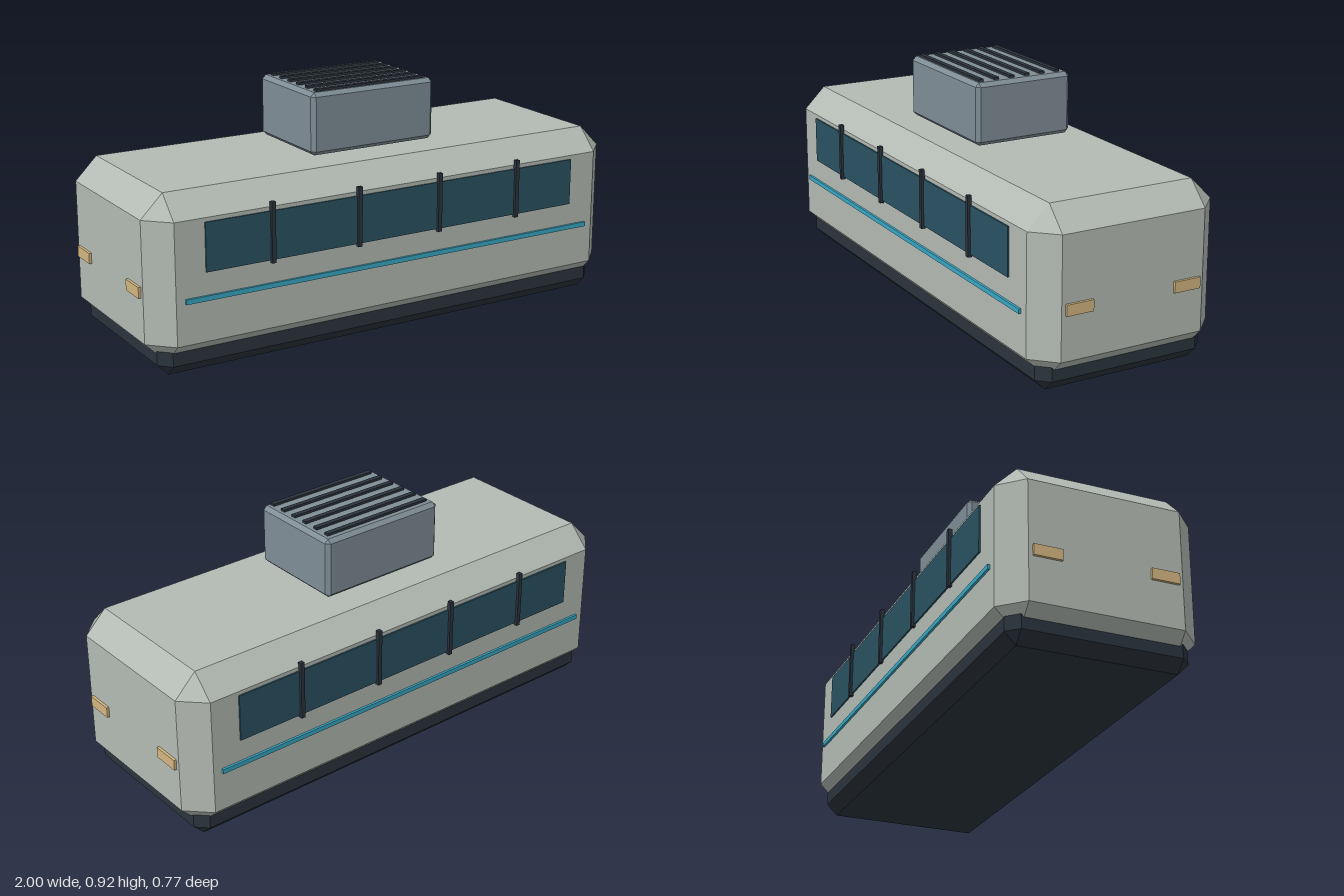
import * as THREE from 'three';
import { ConvexGeometry } from 'three/addons/geometries/ConvexGeometry.js';

const material = (color) => new THREE.MeshStandardMaterial({ color, flatShading: true });
const paint = material(0xb4bbb4);
const dark = material(0x2b343d);
const glass = material(0x2a5262);
const accent = material(0x38a8c4);
const lamp = material(0xd2b680);
const metal = material(0x7f8e97);

// Box from y0 to y1 with every edge cut at 45 degrees by c
function chamferBox(w, y0, y1, d, c) {
  const X = w / 2, Y = (y1 - y0) / 2, Z = d / 2, points = [];
  for (const sx of [-1, 1]) for (const sy of [-1, 1]) for (const sz of [-1, 1]) {
    points.push(
      new THREE.Vector3(sx * X, sy * (Y - c), sz * (Z - c)),
      new THREE.Vector3(sx * (X - c), sy * Y, sz * (Z - c)),
      new THREE.Vector3(sx * (X - c), sy * (Y - c), sz * Z));
  }
  return new ConvexGeometry(points).translate(0, (y0 + y1) / 2, 0);
}

export function createModel() {
  const model = new THREE.Group();

  const add = (name, geometry, mat, x = 0, y = 0, z = 0) => {
    const mesh = new THREE.Mesh(geometry, mat);
    mesh.name = name;
    mesh.position.set(x, y, z);
    model.add(mesh);
  };
  const box = (w, h, d) => new THREE.BoxGeometry(w, h, d);

  // Hull and the dark skirt it sits on
  add('body', chamferBox(1.98, 0.04, 0.66, 0.74, 0.085), paint);
  add('skirt', chamferBox(1.9, 0, 0.14, 0.674, 0.042), dark);

  // Window band, mullions and stripe on both long sides
  for (const s of [1, -1]) {
    const side = s > 0 ? 'front' : 'back';
    add(side + 'Window', box(1.58, 0.18, 0.02), glass, 0, 0.47, s * 0.366);
    add(side + 'Stripe', box(1.74, 0.018, 0.02), accent, 0, 0.286, s * 0.369);
    for (const x of [-0.53, -0.175, 0.172, 0.525]) {
      add(side + 'Mullion', box(0.016, 0.225, 0.016), dark, x, 0.483, s * 0.378);
    }
  }

  // Lamps on both ends
  for (const sx of [1, -1]) for (const sz of [1, -1]) {
    add('endLamp', box(0.02, 0.041, 0.106), lamp, sx * 0.99, 0.311, sz * 0.217);
  }

  // Roof unit with its row of slats
  add('roofUnit', chamferBox(0.526, 0.676, 0.91, 0.394, 0.015), metal);
  for (let i = 0; i < 6; i++) {
    add('roofSlat', box(0.47, 0.014, 0.02), dark, 0, 0.912, 0.006 + (i - 2.5) * 0.064);
  }

  return model;
}
